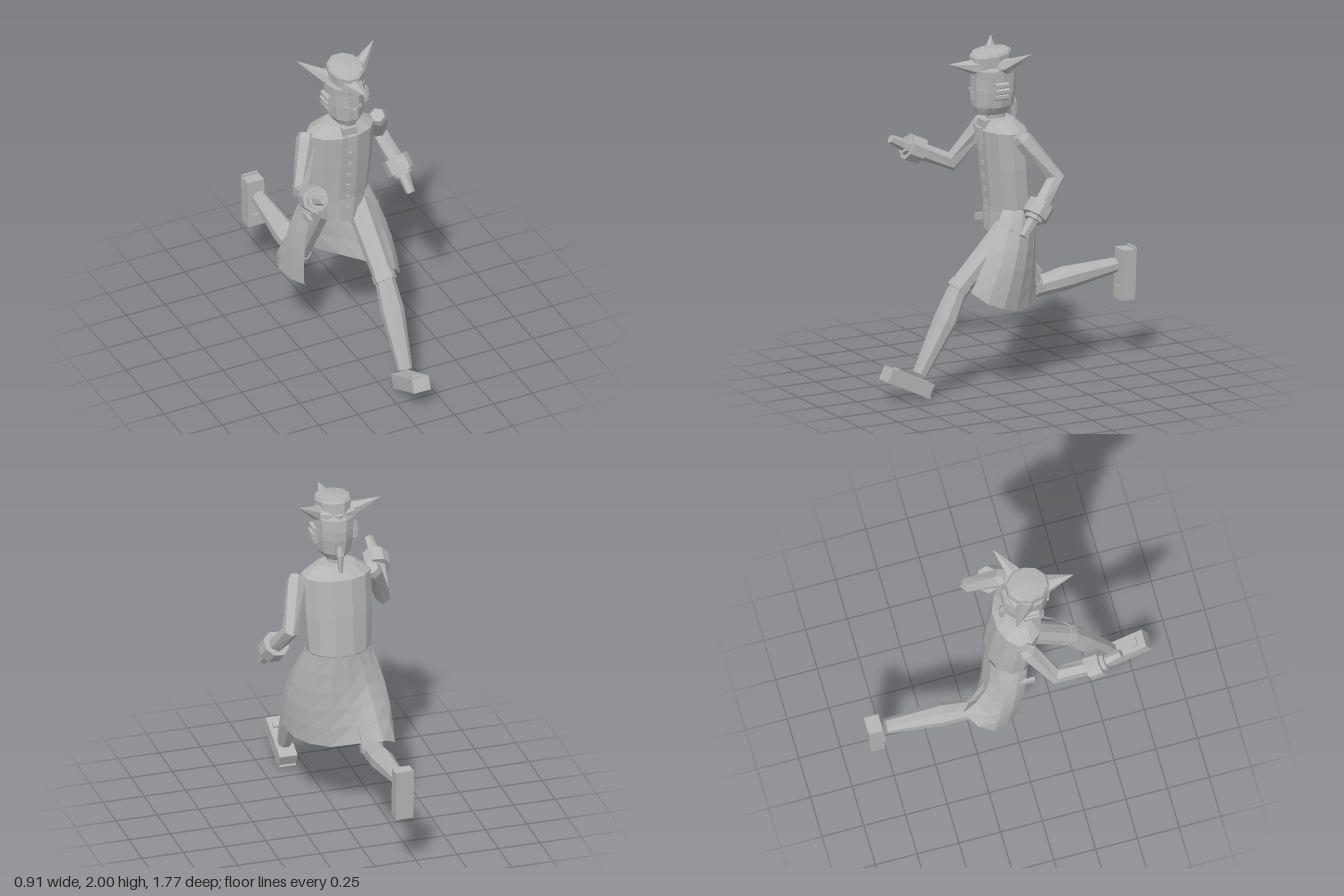
import * as THREE from 'three';

const V = (p) => new THREE.Vector3(...p);
const CX = -0.018; // centre line of head and body

export function createModel() {
  const root = new THREE.Group();
  root.name = 'runningFigure';
  const grey = new THREE.MeshStandardMaterial({ color: 0xb4b4b4, flatShading: true, side: THREE.DoubleSide });
  grey.name = 'plain grey';

  const add = (name, geo, parent = root) => {
    const m = new THREE.Mesh(geo, grey);
    m.name = name;
    parent.add(m);
    return m;
  };
  const group = (name) => {
    const g = new THREE.Group();
    g.name = name;
    root.add(g);
    return g;
  };
  const box = (name, size, pos, parent = root) =>
    add(name, new THREE.BoxGeometry(...size), parent).position.set(...pos);

  // Surface through rows of points, optionally closed around
  function loft(rows, closed = true) {
    const n = rows[0].length, pos = [], idx = [];
    rows.forEach((r) => r.forEach((p) => pos.push(p.x, p.y, p.z)));
    for (let i = 0; i < rows.length - 1; i++)
      for (let j = 0; j < (closed ? n : n - 1); j++) {
        const k = (j + 1) % n, a = i * n + j, b = i * n + k, c = b + n, d = a + n;
        idx.push(a, b, c, a, c, d);
      }
    const g = new THREE.BufferGeometry();
    g.setAttribute('position', new THREE.Float32BufferAttribute(pos, 3));
    g.setIndex(idx);
    g.computeVertexNormals();
    return g;
  }

  // Stack of ellipses [y, rx, centre z, rz], bottom to top
  const stack = (list, sides) => loft(list.map(([y, rx, cz, rz]) =>
    Array.from({ length: sides }, (_, j) => {
      const a = ((j + 0.5) / sides) * Math.PI * 2;
      return V([CX + rx * Math.sin(a), y, cz + rz * Math.cos(a)]);
    })));

  // Faceted tube through points with mitred bends and closed ends
  function sweep(points, radii, sides = 6, flat = 1) {
    const p = points.map(V), rows = [], last = p.length - 1;
    p.forEach((c, i) => {
      const din = p[Math.max(i, 1)].clone().sub(p[Math.max(i, 1) - 1]).normalize();
      const k = Math.min(i, last - 1);
      const dout = p[k + 1].clone().sub(p[k]).normalize();
      const t = din.clone().add(dout).normalize();
      const ref = Math.abs(t.x) > 0.7 ? V([0, 0, 1]) : V([1, 0, 0]);
      const u = ref.addScaledVector(t, -ref.dot(t)).normalize();
      const v = t.clone().cross(u);
      const m = din.clone().sub(dout).normalize();
      const stretch = Math.min(1 / t.dot(din), 1.4) - 1;
      const ring = Array.from({ length: sides }, (_, j) => {
        const a = ((j + 0.5) / sides) * Math.PI * 2;
        const o = u.clone().multiplyScalar(Math.cos(a) * radii[i])
          .addScaledVector(v, Math.sin(a) * radii[i] * flat);
        o.addScaledVector(m, o.dot(m) * stretch);
        return o.add(c);
      });
      const cap = ring.map(() => c.clone());
      if (i === 0) rows.push(cap);
      rows.push(ring);
      if (i === last) rows.push(cap);
    });
    return loft(rows);
  }

  // Coat body
  add('coatBody', stack([
    [0.915, 0, 0.02, 0], [0.915, 0.135, 0.02, 0.125], [1.04, 0.175, 0.005, 0.138], [1.06, 0.192, 0, 0.142],
    [1.3, 0.207, 0.025, 0.142], [1.52, 0.207, 0.05, 0.138], [1.58, 0.12, 0.06, 0.08], [1.585, 0, 0.06, 0],
  ], 12));
  for (let i = 0; i < 6; i++) {
    const y = 1.0 + i * 0.08;
    box('button', [0.022, 0.022, 0.014], [CX, y, 0.142 + Math.max(0, y - 1.06) * 0.1]);
  }

  // Wind-blown coat skirt, open at the front: hem runs from front left around the back to front right
  const hem = [[0.2, 0.615, 0.36], [0.255, 0.55, 0.28], [0.268, 0.51, 0.18], [0.235, 0.475, 0.08],
    [0.17, 0.47, -0.03], [0.07, 0.48, -0.13], [-0.06, 0.52, -0.21], [-0.19, 0.57, -0.32],
    [-0.28, 0.53, -0.25], [-0.308, 0.47, -0.165], [-0.28, 0.45, -0.08], [-0.225, 0.44, 0]].map(V);
  const skirtRows = [1, 0.8, 0.6, 0.4, 0.2, 0].map((s) => hem.map((h, j) => {
    const a = THREE.MathUtils.lerp(0.75, Math.PI * 2 - 1.1, j / (hem.length - 1));
    const p = V([CX + 0.195 * Math.sin(a), 1.06, 0.146 * Math.cos(a)]);
    const z = THREE.MathUtils.lerp(p.z, h.z, h.z < -0.2 ? s ** 2.6 : s); // tail flares out low at the back
    p.lerp(h, s).setZ(z);
    p.x += Math.sin(a) * 0.03 * Math.sin(Math.PI * s); // slight billow
    return p;
  }));
  add('coatSkirt', loft(skirtRows, false));
  for (const s of [-1, 1]) box('pocketFlap', [0.02, 0.04, 0.1], [CX + s * 0.21, 0.935, 0.05]);

  // Neck and cravat
  add('neck', stack([[1.55, 0.045, 0.075, 0.06], [1.66, 0.045, 0.09, 0.06]], 8));
  box('cravatKnot', [0.09, 0.05, 0.05], [CX, 1.555, 0.155]);
  box('cravatFall', [0.055, 0.1, 0.03], [CX, 1.485, 0.19]);

  // Head
  add('head', stack([
    [1.612, 0, 0.1, 0], [1.612, 0.066, 0.105, 0.1], [1.66, 0.1, 0.1, 0.126], [1.75, 0.113, 0.095, 0.137],
    [1.83, 0.115, 0.095, 0.137], [1.9, 0.106, 0.1, 0.124], [1.92, 0, 0.1, 0],
  ], 10));
  add('hairBand', stack([[1.815, 0.118, 0.09, 0.138], [1.88, 0.121, 0.098, 0.138], [1.91, 0.1, 0.1, 0.12]], 10));
  for (const s of [-1, 1]) {
    box('eye', [0.02, 0.02, 0.014], [CX + s * 0.04, 1.755, 0.224]);
    for (let i = 0; i < 3; i++) {
      const y = 1.73 + i * 0.033, x = CX + s * (i === 1 ? 0.122 : 0.116);
      add('hairCurl', sweep([[x, y, 0.06], [x, y, 0.15]], [0.019, 0.019], 6));
    }
  }
  box('nose', [0.022, 0.045, 0.025], [CX, 1.725, 0.232]);
  add('ponytail', sweep([[CX, 1.72, -0.015], [CX, 1.66, -0.035], [CX, 1.555, -0.042]], [0.015, 0.023, 0.012], 6));

  // Three-cornered hat, tipped slightly forward
  const hat = group('hat');
  add('hatCrown', stack([
    [-0.045, 0.102, 0, 0.13], [0.035, 0.108, 0, 0.128], [0.05, 0.1, 0, 0.115], [0.062, 0, 0, 0],
  ], 10), hat);
  hat.position.set(0, 1.934, 0.112);
  hat.rotation.x = 0.1;
  for (const s of [-1, 1])
    add('sideBrimPoint', sweep([[CX + s * 0.05, 1.895, 0.09], [CX + s * 0.115, 1.91, 0.06],
      [CX + s * 0.245, 1.998, -0.02]], [0.07, 0.048, 0.002], 6, 0.85));
  add('frontBrimPoint', sweep([[CX, 1.9, 0.16], [CX, 1.902, 0.24], [CX, 1.932, 0.388]], [0.09, 0.054, 0.002], 6, 0.75));
  add('backBrim', sweep([[CX - 0.1, 1.905, 0.035], [CX, 1.9, -0.005], [CX + 0.1, 1.905, 0.035]], [0.025, 0.025, 0.025], 6));

  // Arms: sleeve, turned-back cuff, hand
  function arm(name, shoulder, elbow, wrist, tip) {
    const g = group(name), S = V(shoulder), E = V(elbow), W = V(wrist), T = V(tip);
    const on = (d) => W.clone().addScaledVector(T.clone().sub(E).normalize(), d).toArray();
    const top = S.clone().addScaledVector(S.clone().sub(E).normalize(), 0.04).toArray();
    add('sleeve', sweep([top, shoulder, elbow, on(-0.03)], [0.042, 0.058, 0.047, 0.05]), g);
    add('cuff', sweep([on(-0.075), on(0.015)], [0.08, 0.08], 8), g);
    add('shirtCuff', sweep([on(0.01), on(0.04)], [0.055, 0.055], 8), g);
    add('hand', sweep([on(0.03), tip], [0.036, 0.026], 6), g);
  }
  arm('rightArm', [-0.24, 1.49, 0.05], [-0.345, 1.25, 0.195], [-0.38, 1.36, 0.45], [-0.38, 1.425, 0.575]);
  arm('leftArm', [0.23, 1.495, 0.035], [0.318, 1.27, -0.135], [0.378, 1.085, 0.03], [0.398, 0.97, 0.125]);

  // Legs: breeches, knee band, stocking, shoe
  function leg(name, hip, knee, calf, ankle, shoePos, shoeTilt) {
    const g = group(name), K = V(knee), up = V(hip).sub(K).normalize();
    const at = (d) => K.clone().addScaledVector(up, d).toArray();
    add('breeches', sweep([hip, at(0.01)], [0.073, 0.062], 8), g);
    add('kneeBand', sweep([at(-0.015), at(0.035)], [0.069, 0.069], 8), g);
    add('stocking', sweep([at(0.03), knee, calf, ankle], [0.055, 0.058, 0.07, 0.044], 8), g);
    const shoe = new THREE.Group();
    shoe.name = 'shoe';
    shoe.position.set(...shoePos);
    shoe.rotation.x = shoeTilt;
    g.add(shoe);
    box('shoeBody', [0.107, 0.085, 0.3], [0, 0, 0], shoe);
    box('buckle', [0.06, 0.014, 0.035], [0, 0.046, 0.085], shoe);
    box('heel', [0.1, 0.014, 0.03], [0, -0.038, -0.147], shoe);
  }
  leg('leftLeg', [0.088, 0.96, 0.045], [0.1, 0.62, 0.39], [0.107, 0.45, 0.475], [0.105, 0.145, 0.645],
    [0.102, 0.108, 0.728], -0.44);
  leg('rightLeg', [-0.115, 0.96, 0.0], [-0.145, 0.487, -0.237], [-0.14, 0.517, -0.44], [-0.14, 0.554, -0.77],
    [-0.143, 0.495, -0.836], Math.PI / 2 - 0.04);

  return root;
}
